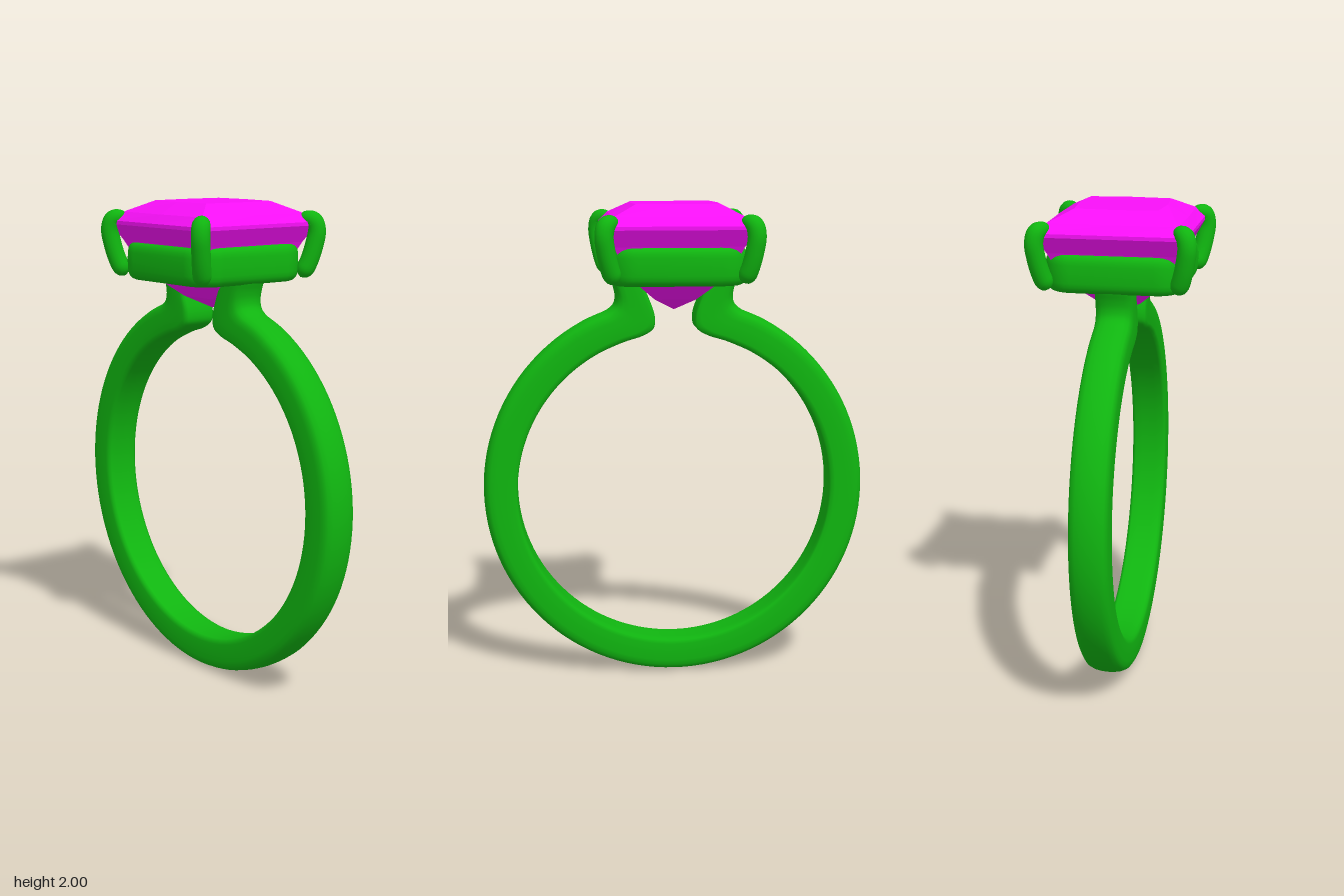
import * as THREE from 'three';

const metal = new THREE.MeshStandardMaterial({ color: 0x10b510 });
const stone = new THREE.MeshStandardMaterial({ color: 0xf810f8, flatShading: true });
const V = (x, y, z = 0) => new THREE.Vector3(x, y, z);

// Skin a list of equal-length closed rings; open ends are capped, winding is made outward.
function loft(rings, closed = false) {
  const n = rings[0].length;
  if (!closed) {
    const cap = (ring) => {
      const c = ring.reduce((s, p) => s.add(p), V(0, 0)).divideScalar(n);
      return ring.map(() => c);
    };
    rings = [cap(rings[0]), ...rings, cap(rings[rings.length - 1])];
  }
  const pts = rings.flat(), m = rings.length, index = [];
  let volume = 0;
  for (let i = 0; i < (closed ? m : m - 1); i++) {
    for (let j = 0; j < n; j++) {
      const k = (j + 1) % n, i2 = (i + 1) % m;
      const a = i * n + j, b = i * n + k, c = i2 * n + k, d = i2 * n + j;
      for (const t of [[a, b, c], [a, c, d]]) {
        index.push(...t);
        volume += pts[t[0]].dot(pts[t[1]].clone().cross(pts[t[2]]));
      }
    }
  }
  if (volume < 0) index.reverse();
  const g = new THREE.BufferGeometry().setFromPoints(pts);
  g.setIndex(index);
  g.computeVertexNormals();
  return g;
}

function add(group, name, geometry, material) {
  const mesh = new THREE.Mesh(geometry, material);
  mesh.name = name;
  group.add(mesh);
  return mesh;
}

// Band: flat inside, domed outside, with both ends turning up into the setting.
function bandGeometry() {
  const CY = 0.805, R_IN = 0.662, R_OUT = 0.805, HALF = 0.078;
  // half of the cross-section: [0 inner .. 1 outer, share of the half width]
  const half = [[0, 0.4], [0, 0.8], [0.04, 0.94], [0.15, 1], [0.4, 1], [0.65, 1],
    [0.8, 0.95], [0.9, 0.83], [0.96, 0.6], [0.99, 0.3]];
  const profile = [[0, 0], ...half, [1, 0], ...half.map(([u, w]) => [u, -w]).reverse()];
  const onArc = (r, a) => V(r * Math.sin(a), CY + r * Math.cos(a));

  // paired inner and outer edges of the shoulder, from the setting down to the arc
  const inner = new THREE.CatmullRomCurve3([V(0.18, 1.74), V(0.14, 1.68), V(0.108, 1.61), V(0.084, 1.535),
    V(0.09, 1.487), V(0.135, 1.457), V(0.21, 1.433), onArc(R_IN, 0.48), onArc(R_IN, 0.56)]);
  const outer = new THREE.CatmullRomCurve3([V(0.27, 1.74), V(0.265, 1.69), V(0.252, 1.65), V(0.247, 1.615),
    V(0.254, 1.585), V(0.28, 1.56), V(0.325, 1.54), onArc(R_OUT, 0.48), onArc(R_OUT, 0.56)]);
  const pairs = [];
  for (let i = 0; i < 40; i++) pairs.push([inner.getPoint(i / 40), outer.getPoint(i / 40)]);
  for (let i = 0; i <= 48; i++) {
    const a = THREE.MathUtils.lerp(0.56, Math.PI, i / 48);
    pairs.push([onArc(R_IN, a), onArc(R_OUT, a)]);
  }
  const flip = (p) => V(-p.x, p.y);
  const mirrored = pairs.slice(0, -1).reverse().map(([p, q]) => [flip(p), flip(q)]);
  return loft([...pairs, ...mirrored].map(([p, q]) =>
    profile.map(([u, w]) => p.clone().lerp(q, u).setZ(w * HALF))));
}

// Rail: soft-edged section carried round a square.
function railGeometry() {
  const CENTRE = 0.228, CORNER = 0.06, RX = 0.057, RY = 0.08, Y = 1.755;
  const soft = (v) => Math.sign(v) * Math.abs(v) ** 0.6;
  const rings = [];
  for (let q = 0; q < 4; q++) {
    const mid = (q + 0.5) * Math.PI / 2, reach = (CENTRE - CORNER) * Math.SQRT2;
    for (let s = 0; s <= 8; s++) {
      const a = (q + s / 8) * Math.PI / 2, ring = [];
      for (let j = 0; j < 24; j++) {
        const t = j / 24 * Math.PI * 2;
        const r = CORNER + RX * soft(Math.cos(t));
        ring.push(V(reach * Math.cos(mid) + r * Math.cos(a), Y + RY * soft(Math.sin(t)),
          reach * Math.sin(mid) + r * Math.sin(a)));
      }
      rings.push(ring);
    }
  }
  return loft(rings, true);
}

// Claw: tapered round wire lying in the diagonal plane, hooked over the stone.
function clawGeometry() {
  const path = new THREE.CatmullRomCurve3([V(0.258, 1.69), V(0.28, 1.75), V(0.296, 1.82), V(0.303, 1.88),
    V(0.295, 1.918), V(0.275, 1.93), V(0.25, 1.922)].map((p) => V(p.x, p.y, p.x)));
  const side = V(1, 0, -1).normalize();
  const rings = [];
  for (let i = 0; i <= 40; i++) {
    const t = i / 40;
    const p = path.getPoint(t), up = path.getTangent(t).cross(side).normalize();
    const round = Math.sqrt(Math.max(0, 1 - Math.max(0, 1 - t / 0.12) ** 2));
    const taper = t < 0.6 ? 1 : Math.sqrt(Math.max(0, 1 - ((t - 0.6) / 0.4) ** 2.4));
    const r = Math.max(0.001, 0.038 * round * taper);
    rings.push(Array.from({ length: 16 }, (_, j) => {
      const a = j / 16 * Math.PI * 2;
      return p.clone().addScaledVector(side, r * Math.cos(a)).addScaledVector(up, r * Math.sin(a));
    }));
  }
  return loft(rings);
}

// Stone: square steps [half width, height, bow of each side].
function stoneGeometry() {
  const steps = [[0.168, 2.0, 0.014], [0.262, 1.953, 0.004], [0.3, 1.917, 0], [0.3, 1.902, 0],
    [0.262, 1.835, 0], [0.215, 1.735, 0], [0.155, 1.67, 0], [0.085, 1.608, 0], [0.001, 1.56, 0]];
  return loft(steps.map(([h, y, bow]) => Array.from({ length: 8 }, (_, j) => {
    const a = j * Math.PI / 4, r = j % 2 ? h * Math.SQRT2 : h + bow;
    return V(r * Math.cos(a), y, r * Math.sin(a));
  })));
}

export function createModel() {
  const ring = new THREE.Group();
  ring.name = 'ring';
  add(ring, 'band', bandGeometry(), metal);

  const setting = new THREE.Group();
  setting.name = 'setting';
  ring.add(setting);
  add(setting, 'rail', railGeometry(), metal);
  const claw = clawGeometry();
  ['frontLeftClaw', 'frontRightClaw', 'backRightClaw', 'backLeftClaw'].forEach((name, i) => {
    add(setting, name, claw, metal).rotation.y = -i * Math.PI / 2;
  });

  add(ring, 'stone', stoneGeometry(), stone);
  return ring;
}
